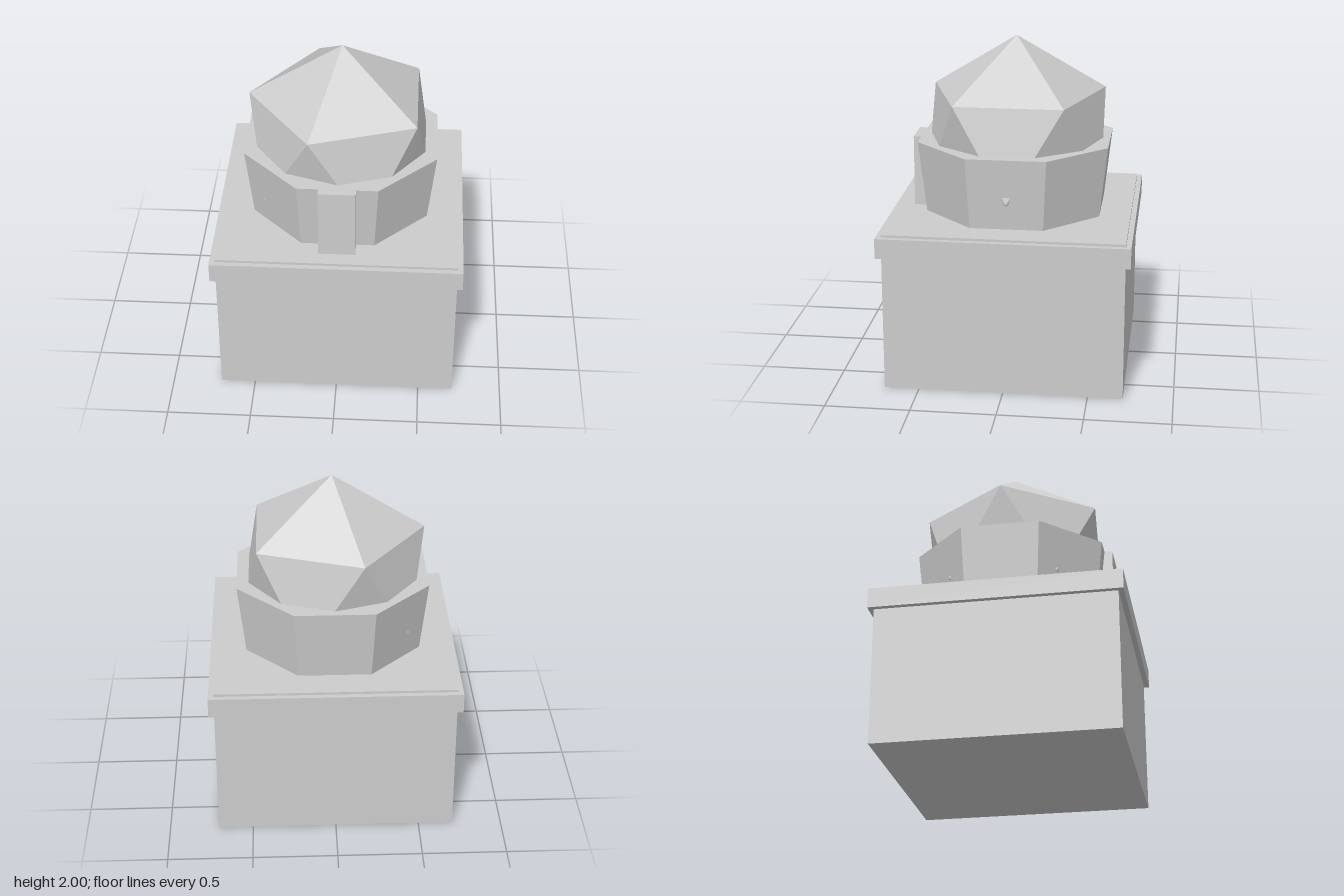
import * as THREE from 'three';

export function createModel() {
  const model = new THREE.Group();
  const stone = new THREE.MeshStandardMaterial({ color: 0xcccccc });
  stone.name = 'pale stone';
  stone.flatShading = true;

  const add = (name, geometry, x, y, z) => {
    const mesh = new THREE.Mesh(geometry, stone);
    mesh.name = name;
    mesh.position.set(x, y, z);
    model.add(mesh);
    return mesh;
  };
  // box given by its width, depth and vertical extent
  const block = (name, w, d, y0, y1, z = 0) =>
    add(name, new THREE.BoxGeometry(w, y1 - y0, d), 0, (y0 + y1) / 2, z);

  // square building with a projecting cornice
  block('base', 1.412, 1.412, 0, 0.955);
  block('cornice', 1.475, 1.475, 0.82, 0.94);

  // eight-sided drum, flaring upwards, with a flat side to the front
  const drumBottom = 0.955, drumTop = 1.385;
  const corner = 1 / Math.cos(Math.PI / 8);
  const drum = new THREE.CylinderGeometry(
    0.567 * corner, 0.52 * corner, drumTop - drumBottom, 8);
  drum.rotateY(Math.PI / 8);
  add('drum', drum, 0, (drumBottom + drumTop) / 2, 0);

  // upright door block on the front of the drum
  block('door', 0.216, 0.215, drumBottom, drumTop, 0.5075);

  // icosahedron dome standing on a point, half sunk into the drum
  const radius = 0.615;
  const dome = new THREE.IcosahedronGeometry(radius, 0);
  dome.rotateZ(Math.atan(2 / (1 + Math.sqrt(5))));
  add('dome', dome, 0, 2 - radius, 0);

  return model;
}
